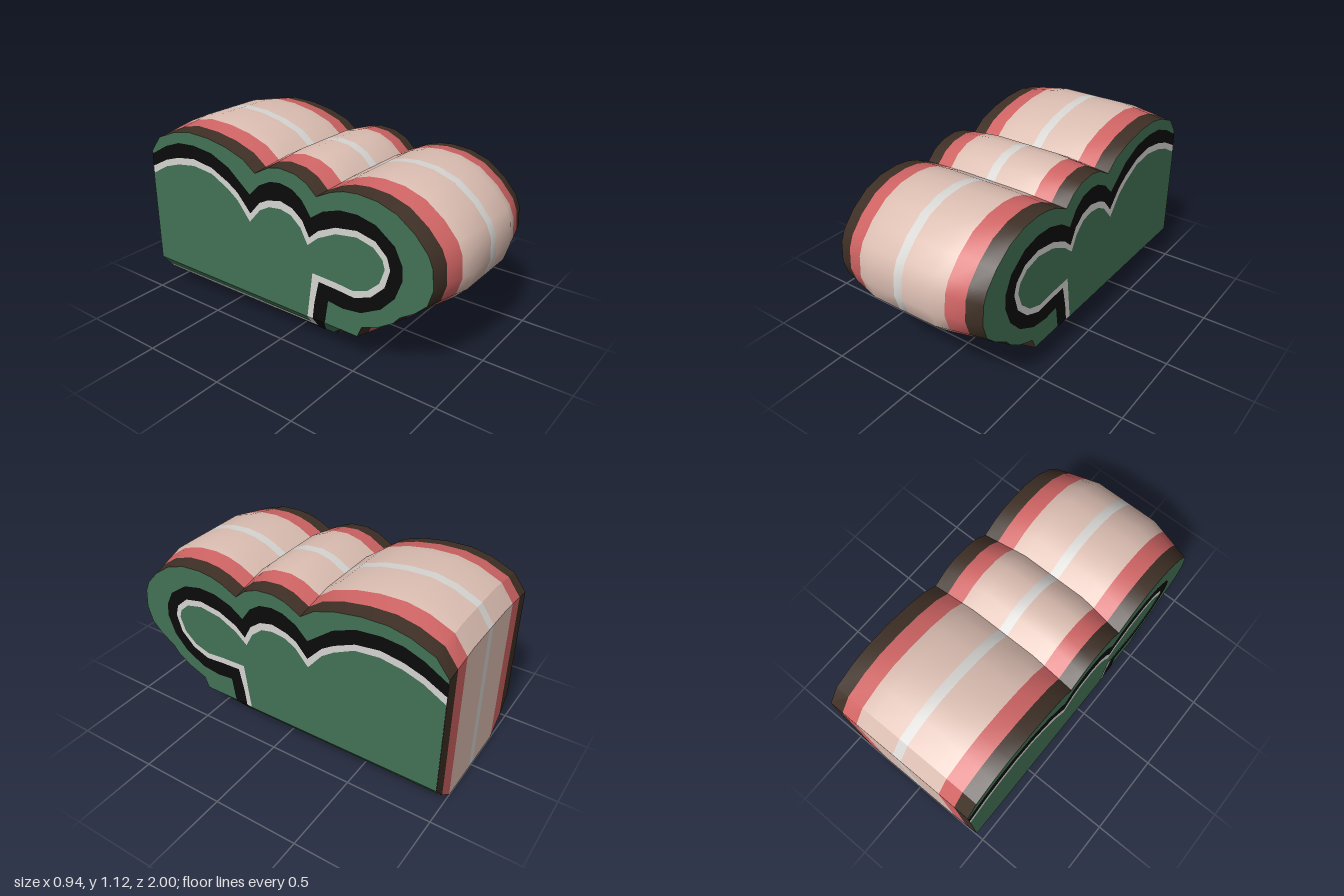
import * as THREE from 'three';
import { toCreasedNormals } from 'three/addons/utils/BufferGeometryUtils.js';

const mat = (name, color) => {
  const m = new THREE.MeshStandardMaterial({ color });
  m.name = name;
  return m;
};

// Outlines are [z, y] points, from the lower front over the top to the back
const OUTER = [
  [0.2, 0], [0.36, 0.1], [0.43, 0.165], [0.54, 0.16], [0.57, 0.235], [0.68, 0.28], [0.77, 0.34],
  [0.81, 0.39], [0.9, 0.45], [0.97, 0.52], [1, 0.62], [0.99, 0.74], [0.96, 0.81], [0.88, 0.9],
  [0.77, 0.98], [0.65, 1.02], [0.53, 1.03], [0.44, 1.02], [0.36, 0.995], [0.265, 0.945],
  [0.2, 1.005], [0.12, 1.04], [0.015, 1.05], [-0.07, 1.03], [-0.165, 0.975], [-0.25, 1.04],
  [-0.38, 1.085], [-0.52, 1.11], [-0.67, 1.115], [-0.79, 1.09], [-0.925, 1.03], [-1, 0.925], [-1, 0],
];
const BLACK = [
  [0.2, 0.055], [0.25, 0.12], [0.29, 0.21], [0.31, 0.34], [0.41, 0.33], [0.52, 0.345], [0.64, 0.41],
  [0.72, 0.5], [0.76, 0.61], [0.755, 0.69], [0.71, 0.78], [0.6, 0.86], [0.49, 0.885], [0.385, 0.88],
  [0.28, 0.845], [0.2, 0.79], [0.145, 0.87], [0.08, 0.915], [0, 0.93], [-0.07, 0.92], [-0.15, 0.88],
  [-0.22, 0.81], [-0.37, 0.93], [-0.5, 0.985], [-0.64, 1], [-0.76, 0.99], [-0.87, 0.95], [-1, 0.875], [-1, 0.045],
];
const WHITE = [
  [0.195, 0.112], [0.22, 0.3], [0.25, 0.435], [0.36, 0.43], [0.48, 0.42], [0.58, 0.46], [0.66, 0.54],
  [0.69, 0.645], [0.67, 0.71], [0.6, 0.775], [0.49, 0.8], [0.36, 0.78], [0.25, 0.73], [0.19, 0.675],
  [0.145, 0.76], [0.08, 0.81], [0, 0.83], [-0.09, 0.81], [-0.15, 0.78], [-0.22, 0.7], [-0.31, 0.8],
  [-0.38, 0.845], [-0.5, 0.9], [-0.64, 0.92], [-0.77, 0.9], [-0.875, 0.865], [-1, 0.8], [-1, 0.092],
];
const INNER = [
  [0.165, 0.145], [0.19, 0.33], [0.21, 0.475], [0.36, 0.47], [0.47, 0.46], [0.56, 0.49], [0.63, 0.555],
  [0.66, 0.64], [0.645, 0.69], [0.59, 0.74], [0.49, 0.765], [0.36, 0.745], [0.25, 0.69], [0.18, 0.63],
  [0.135, 0.715], [0.07, 0.77], [0, 0.785], [-0.08, 0.775], [-0.145, 0.74], [-0.225, 0.65], [-0.31, 0.755],
  [-0.38, 0.805], [-0.5, 0.865], [-0.64, 0.88], [-0.77, 0.86], [-0.875, 0.825], [-1, 0.755], [-1, 0.13],
];

// Half width of the body, and the two chamfer steps along its lower edges
const W = 0.463, Y1 = 0.1, Y2 = 0.195, X0 = 0.27, X1 = 0.39;
const sideX = (y) => y < Y1 ? X0 + (X1 - X0) * y / Y1
  : y < Y2 ? X1 + (W - X1) * (y - Y1) / (Y2 - Y1) : W;

// Outline drawn in towards the sides of the body
function inset([z, y], x) {
  const t = Math.max(0, (Math.abs(x) - 0.2) / (W - 0.2));
  if (y === 0) return [z, y];
  return [z - t * 0.072 * ((z + 1) / 2) ** 2, y + t * 0.08 * (0.55 - y)];
}

// Keep the part of a polygon where f >= 0
function clip(poly, f) {
  const out = [];
  poly.forEach((a, i) => {
    const b = poly[(i + 1) % poly.length], fa = f(a), fb = f(b);
    if (fa >= 0) out.push(a);
    if (fa * fb < 0) out.push(a.map((v, k) => v + (b[k] - v) * fa / (fa - fb)));
  });
  return out;
}

function addFan(positions, poly) {
  for (let i = 2; i < poly.length; i++) positions.push(...poly[0], ...poly[i - 1], ...poly[i]);
}

function toGeometry(positions) {
  const g = new THREE.BufferGeometry();
  g.setAttribute('position', new THREE.Float32BufferAttribute(positions, 3));
  g.computeVertexNormals();
  return g;
}

// Wrapping band of the body between pairs of x positions, cut by the chamfers
function bandGeometry(spans) {
  const positions = [];
  const cut1 = ([x, y]) => y - (Math.abs(x) - X0) * Y1 / (X1 - X0);
  const cut2 = ([x, y]) => y - Y1 - (Math.abs(x) - X1) * (Y2 - Y1) / (W - X1);
  const at = (p, x) => {
    const [z, y] = inset(p, x);
    return [x, y, z];
  };
  for (const [xa, xb] of spans) {
    OUTER.forEach((p, i) => {
      const q = OUTER[(i + 1) % OUTER.length];
      const a = at(p, xa), b = at(p, xb), c = at(q, xb), d = at(q, xa);
      for (const tri of [[a, b, c], [a, c, d]]) addFan(positions, clip(clip(tri, cut1), cut2));
    });
  }
  return toCreasedNormals(toGeometry(positions), 0.52);
}

// Flat side panel that folds over the chamfers
function panelGeometry(outline, side, lift) {
  const flat = new THREE.ShapeGeometry(new THREE.Shape(outline.map(([z, y]) => new THREE.Vector2(z, y))));
  const pos = flat.attributes.position, index = flat.index.array, positions = [];
  const bands = [[-1, Y1], [Y1, Y2], [Y2, 9]];
  for (let i = 0; i < index.length; i += 3) {
    const tri = [0, 1, 2].map((k) => [0, pos.getY(index[i + k]), pos.getX(index[i + k])]);
    if (side > 0) tri.reverse();
    for (const [lo, hi] of bands) {
      const poly = clip(clip(tri, (p) => p[1] - lo), (p) => hi - p[1]);
      addFan(positions, poly.map(([, y, z]) => [side * (sideX(y) + lift), y, z]));
    }
  }
  return toGeometry(positions);
}

export function createModel() {
  const group = new THREE.Group();
  group.name = 'cloudBlock';
  const pink = mat('pink', 0xdcbeb2), red = mat('red', 0xd06464), brown = mat('darkBrown', 0x3e2f25);
  const white = mat('white', 0xd6d5d2), green = mat('green', 0x437256), black = mat('black', 0x0b0b0b);
  const add = (name, geometry, material) => {
    const mesh = new THREE.Mesh(geometry, material);
    mesh.name = name;
    group.add(mesh);
  };

  // Coloured bands around the body
  add('centreStripe', bandGeometry([[-0.027, 0.027]]), white);
  for (const side of [1, -1]) {
    const label = side > 0 ? 'left' : 'right';
    const span = (a, b) => side > 0 ? [a, b] : [-b, -a];
    add(label + 'PinkBand', bandGeometry([span(0.027, 0.2), span(0.2, 0.277)]), pink);
    add(label + 'RedBand', bandGeometry([span(0.277, 0.377)]), red);
    add(label + 'EdgeBand', bandGeometry([span(0.377, W)]), brown);

    // Side panel with its outlined cloud shape
    add(label + 'Panel', panelGeometry(OUTER.map((p) => inset(p, W)), side, 0), green);
    add(label + 'BlackOutline', panelGeometry(BLACK, side, 0.002), black);
    add(label + 'WhiteOutline', panelGeometry(WHITE, side, 0.004), white);
    add(label + 'InnerPanel', panelGeometry(INNER, side, 0.006), green);
  }
  return group;
}
